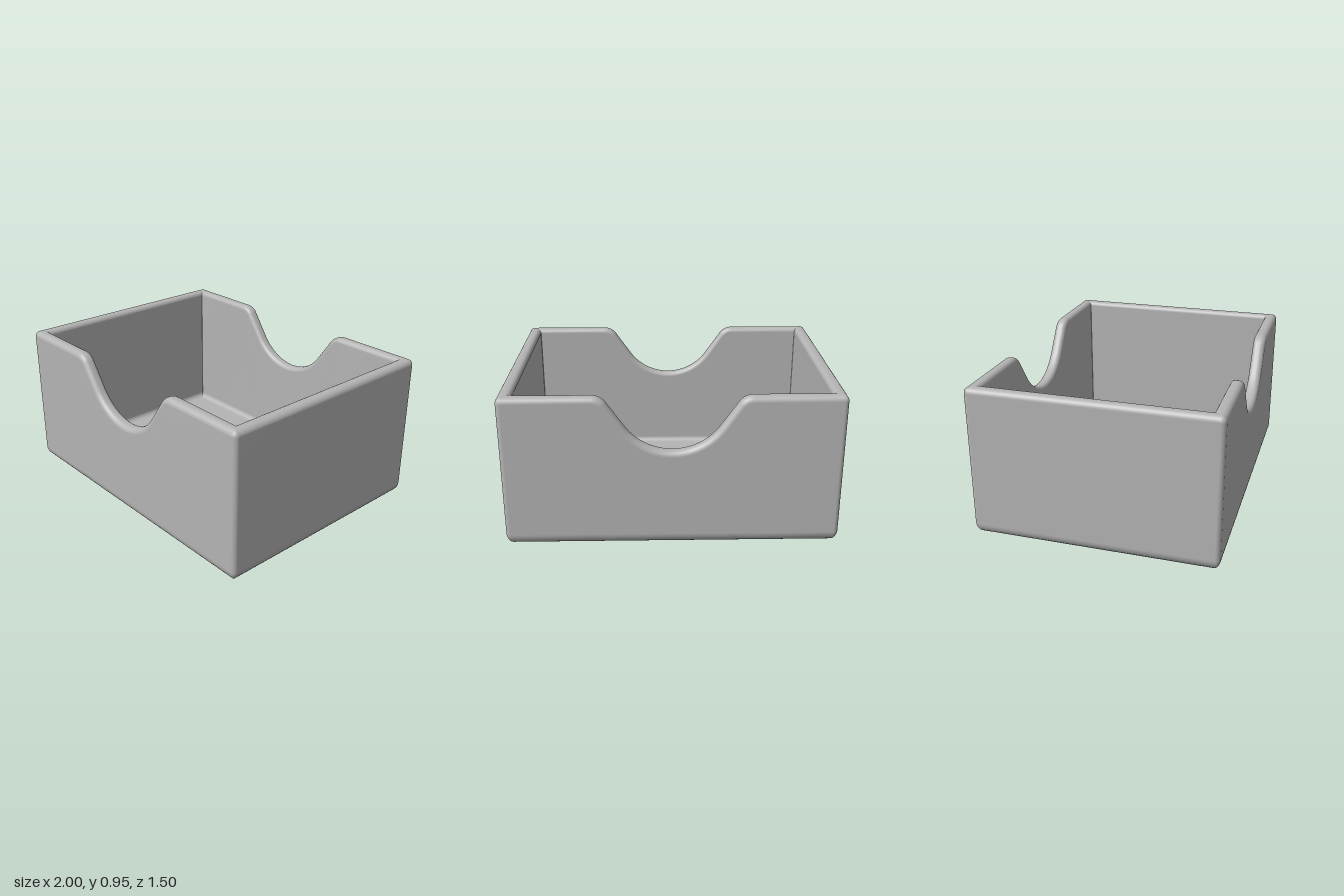
import * as THREE from 'three';

const HX = 1, HZ = 0.75, TOP = 0.95;   // half width, half depth, rim height
const WALL = 0.08, FLOOR = 0.07;       // wall and floor thickness
const STEPS = 8;

// Rim line across one long wall, from -x to +x: shoulder, bowl, shoulder.
// n is the in-plane direction away from the material.
function notchLine() {
  const a = THREE.MathUtils.degToRad(55), R = 0.335, r = 0.1, cx = 0.461;
  const out = [];
  const add = (x, y, t) => out.push({ x, y, nx: -Math.sin(t), ny: Math.cos(t) });
  for (let i = 0; i <= STEPS; i++) {
    const t = -a * i / STEPS;
    add(-cx - r * Math.sin(t), TOP - r + r * Math.cos(t), t);
  }
  for (let i = 0; i <= 32; i++) {
    const t = -a + 2 * a * i / 32;
    add(R * Math.sin(t), TOP - R * Math.cos(t), t);
  }
  for (let i = 0; i <= STEPS; i++) {
    const t = a * (1 - i / STEPS);
    add(cx - r * Math.sin(t), TOP - r + r * Math.cos(t), t);
  }
  return out;
}

// Stations around the box, anticlockwise from above, starting on the front wall.
function perimeter() {
  const line = notchLine(), list = [];
  const corner = (sx, sz, start) => {
    for (let i = 0; i <= 6; i++) list.push({ sx, sz, angle: start + (Math.PI / 2) * i / 6 });
  };
  line.forEach(p => list.push({ ...p, side: 1 }));
  corner(1, 1, -Math.PI / 2);
  corner(1, -1, 0);
  line.forEach(p => list.push({ ...p, x: -p.x, nx: -p.nx, side: -1 }));
  corner(-1, -1, Math.PI / 2);
  corner(-1, 1, Math.PI);
  return list;
}

// Wall section from underside to floor: d = inset from the outside,
// y = absolute height, or e = depth below the rim line.
function section() {
  const rb = 0.08, ro = 0.035, ri = 0.03, rf = 0.035, s = [];
  const arc = f => {
    for (let i = 0; i <= STEPS; i++) {
      const t = (Math.PI / 2) * i / STEPS;
      s.push(f(Math.sin(t), Math.cos(t)));
    }
  };
  s.push({ d: 0.2, y: 0 });
  arc((sn, cs) => ({ d: rb * (1 - sn), y: rb * (1 - cs) }));
  arc((sn, cs) => ({ d: ro * (1 - cs), e: ro * (1 - sn) }));
  arc((sn, cs) => ({ d: WALL - ri + ri * sn, e: ri * (1 - cs) }));
  arc((sn, cs) => ({ d: WALL + rf * (1 - cs), y: FLOOR + rf * (1 - sn) }));
  s.push({ d: 0.2, y: FLOOR });
  return s;
}

function place(p, { d, y, e }) {
  if (p.side) {
    const z = p.side * (HZ - d);
    return e === undefined ? [p.x, y, z] : [p.x - p.nx * e, p.y - p.ny * e, z];
  }
  // Corners are rounded outside and nearly sharp inside
  const r = Math.max(0.03 - d, 0.004);
  return [
    p.sx * (HX - d - r) + r * Math.cos(p.angle),
    e === undefined ? y : TOP - e,
    p.sz * (HZ - d - r) - r * Math.sin(p.angle),
  ];
}

function trayGeometry() {
  const stations = perimeter(), rings = section();
  const n = stations.length, m = rings.length;
  const pos = [], index = [];
  rings.forEach(ring => stations.forEach(p => pos.push(...place(p, ring))));
  const under = n * m, floor = under + 1;
  pos.push(0, 0, 0, 0, FLOOR, 0);
  for (let i = 0; i < n; i++) {
    const k = (i + 1) % n;
    for (let j = 0; j < m - 1; j++) {
      const a = j * n + i, b = j * n + k;
      index.push(a, b, b + n, a, b + n, a + n);
    }
    index.push(under, k, i, floor, (m - 1) * n + i, (m - 1) * n + k);
  }
  const g = new THREE.BufferGeometry();
  g.setAttribute('position', new THREE.Float32BufferAttribute(pos, 3));
  g.setIndex(index);
  g.computeVertexNormals();
  return g;
}

export function createModel() {
  const grey = new THREE.MeshStandardMaterial({ color: 0xb4b4b4 });
  grey.name = 'grey';
  const group = new THREE.Group();
  group.name = 'notchedTray';
  const tray = new THREE.Mesh(trayGeometry(), grey);
  tray.name = 'trayShell';
  group.add(tray);
  return group;
}
